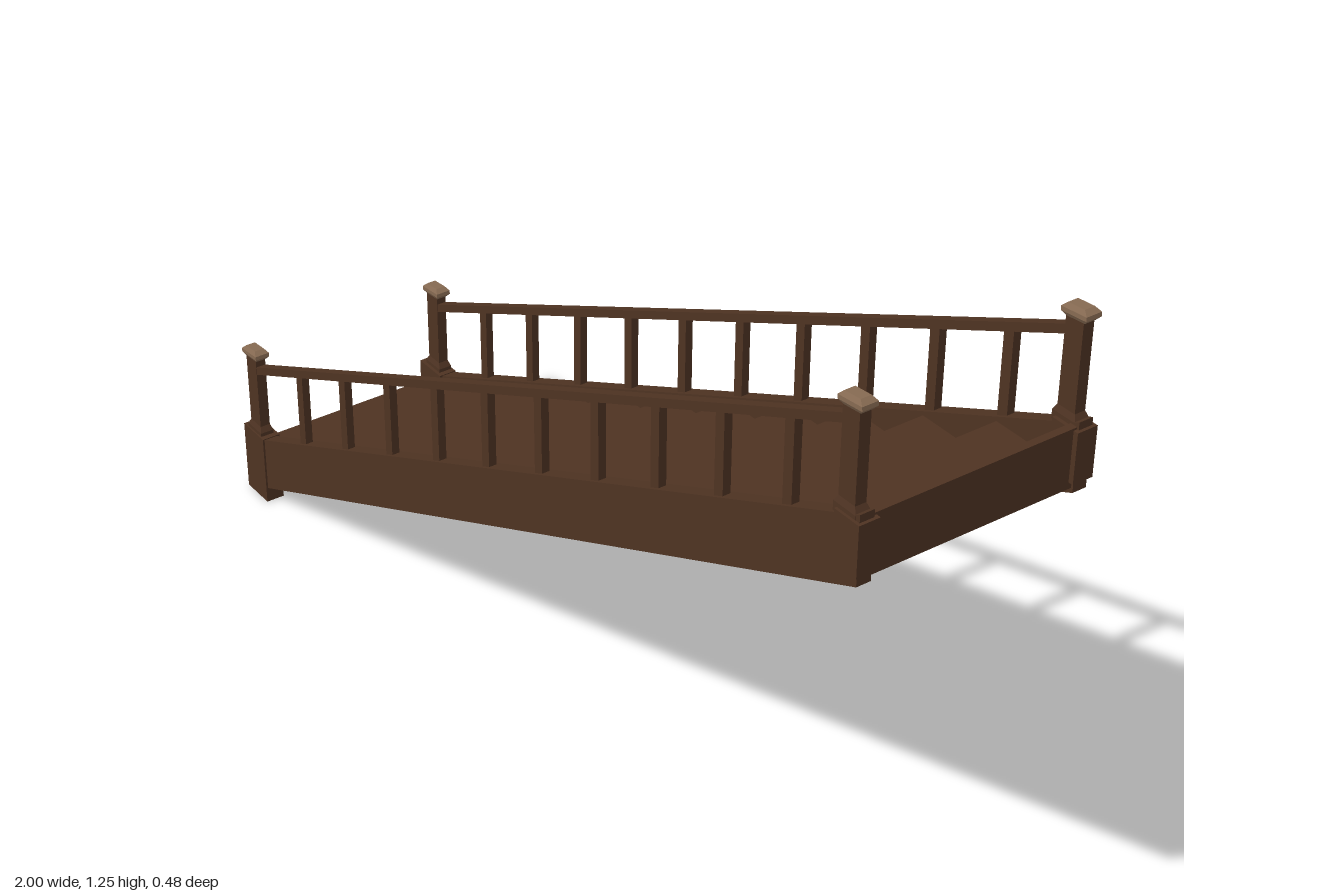
import * as THREE from 'three';

const wood = new THREE.MeshStandardMaterial({ color: 0x4e3322 });
wood.name = 'darkWood';
const pale = new THREE.MeshStandardMaterial({ color: 0x866a52 });
pale.name = 'paleWood';

const SLOPE = 0.466;
const STEPS = 11;
const RAIL_Z = 0.222;
const stringerTop = (x) => 0.155 + 0.468 * (x + 0.92);
const railY = (x) => 0.315 + 0.468 * (x + 0.94);

function add(parent, name, geometry, material, x = 0, y = 0, z = 0) {
  const mesh = new THREE.Mesh(geometry, material);
  mesh.name = name;
  mesh.position.set(x, y, z);
  parent.add(mesh);
  return mesh;
}

// Box given by its limits
function box(parent, name, x0, x1, y0, y1, z0, z1) {
  return add(parent, name, new THREE.BoxGeometry(x1 - x0, y1 - y0, z1 - z0), wood,
    (x0 + x1) / 2, (y0 + y1) / 2, (z0 + z1) / 2);
}

// Side profile in x and y, given thickness between z0 and z1
function slab(parent, name, points, z0, z1) {
  const shape = new THREE.Shape(points.map(([x, y]) => new THREE.Vector2(x, y)));
  const geometry = new THREE.ExtrudeGeometry(shape, { depth: z1 - z0, bevelEnabled: false });
  return add(parent, name, geometry, wood, 0, 0, z0);
}

// Rectangular turned form: rows of [half width, height], flattened in z
function squareTurned(rows, depthRatio) {
  const points = rows.map(([r, y]) => new THREE.Vector2(r * Math.SQRT2, y));
  const geometry = new THREE.LatheGeometry(points, 4, Math.PI / 4).toNonIndexed();
  geometry.scale(1, 1, depthRatio);
  geometry.computeVertexNormals();
  return geometry;
}

function newelPost(parent, x, y, z, height) {
  const post = new THREE.Group();
  post.name = 'newelPost';
  post.position.set(x, y, z);
  // Flared foot and shaft
  add(post, 'newelShaft', squareTurned([
    [0.027, -0.01], [0.027, 0.008], [0.02, 0.02], [0.02, height],
  ], 0.55), wood);
  // Bevelled cap
  const cap = add(post, 'newelCap', squareTurned([
    [0, -0.002], [0.02, -0.002], [0.029, 0.006], [0.029, 0.014], [0.019, 0.022], [0, 0.022],
  ], 0.55), pale, 0.002, height, 0);
  cap.rotation.z = 0.1;
  parent.add(post);
}

export function createModel() {
  const model = new THREE.Group();
  model.name = 'staircase';

  // Treads, risers and sloping underside in one sawtooth profile
  const startX = -0.967, endX = 0.985;
  const run = (endX - startX) / STEPS;
  const rise = run * SLOPE;
  const profile = [[startX, 0.015]];
  for (let i = 0; i < STEPS; i++) {
    const y = 0.128 + i * rise;
    profile.push([startX + i * run, y], [startX + (i + 1) * run, y]);
  }
  profile.push([endX, 0.922]);
  slab(model, 'steps', profile, -0.212, 0.212);

  // Top riser board
  box(model, 'topRiser', 0.975, 0.99, 0.925, 1.04, -0.21, 0.21);

  for (const side of [1, -1]) {
    const flank = new THREE.Group();
    flank.name = side > 0 ? 'frontBalustrade' : 'backBalustrade';
    model.add(flank);
    const span = (a, b) => (side > 0 ? [a, b] : [-b, -a]);

    // Sloping side board
    slab(flank, 'stringer', [
      [-0.96, 0.015], [0.994, 0.917], [0.994, stringerTop(0.994)], [-0.96, stringerTop(-0.96)],
    ], ...span(0.207, 0.236));

    // Corner blocks
    box(flank, 'lowerBlock', -1, -0.92, 0, 0.157, ...span(0.2, 0.24));
    box(flank, 'upperBlock', 0.94, 1, 0.938, 1.036, ...span(0.2, 0.242));

    newelPost(flank, -0.959, 0.157, side * RAIL_Z, 0.182);
    newelPost(flank, 0.958, 1.036, side * RAIL_Z, 0.187);

    // Handrail
    const [x0, x1, t] = [-0.945, 0.945, 0.009];
    slab(flank, 'handrail', [
      [x0, railY(x0) - t], [x1, railY(x1) - t], [x1, railY(x1) + t], [x0, railY(x0) + t],
    ], ...span(RAIL_Z - 0.01, RAIL_Z + 0.01));

    // Balusters, cut to the slope at both ends
    for (let i = 0; i < 10; i++) {
      const x = -0.76 + i * 0.1747, w = 0.0115;
      slab(flank, 'baluster', [
        [x - w, stringerTop(x - w) - 0.006], [x + w, stringerTop(x + w) - 0.006],
        [x + w, railY(x + w)], [x - w, railY(x - w)],
      ], ...span(RAIL_Z - 0.008, RAIL_Z + 0.008));
    }
  }
  return model;
}
